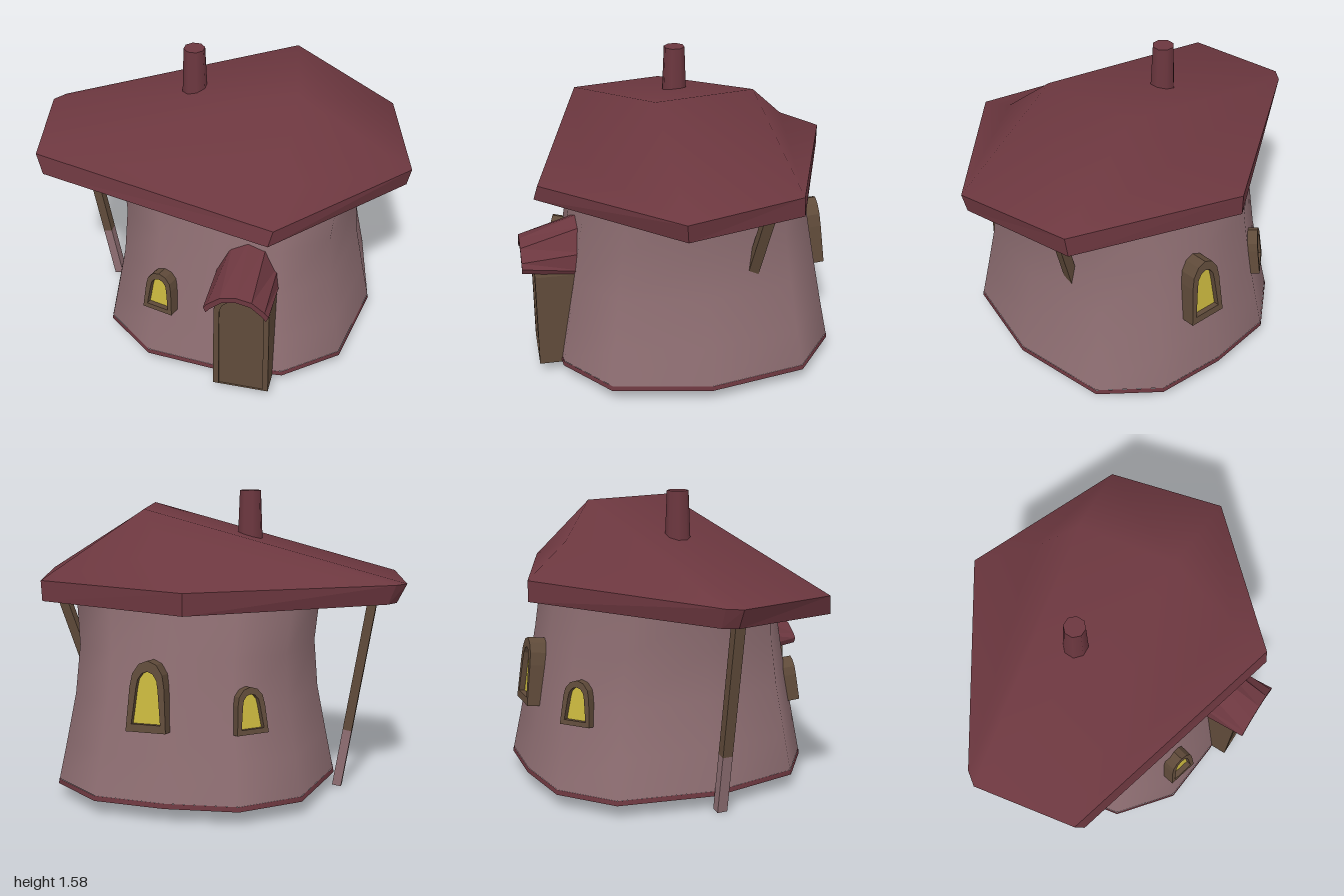
import * as THREE from 'three';

const mat = (name, color, side = THREE.FrontSide) => {
  const m = new THREE.MeshStandardMaterial({ color, side });
  m.name = name;
  return m;
};

// Skin between equal-length loops of [x, y, z] points
function loft(loops, smooth) {
  const n = loops[0].length, idx = [];
  for (let r = 0; r < loops.length - 1; r++)
    for (let i = 0; i < n; i++) {
      const a = r * n + i, b = r * n + (i + 1) % n;
      idx.push(a, b, b + n, a, b + n, a + n);
    }
  return fromPoints(loops.flat(), idx, smooth);
}

function fromPoints(points, idx, smooth) {
  let g = new THREE.BufferGeometry();
  g.setAttribute('position', new THREE.Float32BufferAttribute(points.flat(), 3));
  g.setIndex(idx);
  if (!smooth) g = g.toNonIndexed();
  g.computeVertexNormals();
  return g;
}

// Arched outline standing on y = 0
function archPoints(half, topHalf, height, spring) {
  const pts = [[-half, 0], [half, 0]];
  for (let i = 0; i <= 6; i++) {
    const t = i / 6 * Math.PI;
    pts.push([topHalf * Math.cos(t), spring + (height - spring) * Math.sin(t)]);
  }
  return pts.map(p => new THREE.Vector2(...p));
}

export function createModel() {
  const house = new THREE.Group();
  house.name = 'cottage';
  const plaster = mat('plaster pink', 0x8e6e72, THREE.DoubleSide);
  const red = mat('roof red', 0x6c373f, THREE.DoubleSide);
  const wood = mat('wood brown', 0x604b3a);
  const glow = mat('window yellow', 0xc8b63e);
  const add = (name, geo, material, parent = house) => {
    const m = new THREE.Mesh(geo, material);
    m.name = name;
    parent.add(m);
    return m;
  };

  // Wall: a rounded twelve-sided ring, narrowing upward
  const quarter = [[0, 1], [0.5, 0.955], [0.87, 0.665], [1, 0], [0.87, -0.665], [0.5, -0.955]];
  const ring = [...quarter, ...quarter.map(([x, z]) => [-x, -z])];
  const wallLoop = (y, rx, rz, cz) => ring.map(([x, z]) => [0.1 + x * rx, y, cz + z * rz]);
  add('wall', loft([
    wallLoop(0.1, 0.732, 0.752, -0.075),
    wallLoop(0.3, 0.69, 0.715, -0.072),
    wallLoop(0.55, 0.64, 0.67, -0.07),
    wallLoop(0.8, 0.62, 0.625, -0.067),
    wallLoop(1.03, 0.645, 0.585, -0.065),
  ], true), plaster);
  add('baseTrim', loft([
    wallLoop(0.075, 0.737, 0.757, -0.075),
    wallLoop(0.1, 0.733, 0.753, -0.075),
  ], true), red);

  // Roof: lopsided hips rising to a short ridge
  const eave = [[0.41, 1.1, 0.73], [1, 1.12, 0.1], [0.84, 1.13, -0.5], [0, 1.14, -0.83],
    [-0.95, 1.12, -0.2], [-1, 1.12, -0.13], [-0.9, 1.12, 0.4]];
  const under = [[0.39, 1.02, 0.75], [0.98, 1.02, 0.09], [0.83, 1.025, -0.51], [0, 1.03, -0.83],
    [-0.91, 1.02, -0.2], [-0.95, 1.02, -0.13], [-0.86, 1.02, 0.43]];
  const peaks = [[0.32, 1.495, -0.37], [0.41, 1.495, 0.14], [0.41, 1.19, 0.5], [0.17, 1.3, -0.56]];
  add('roofTop', fromPoints([...eave, ...peaks], [
    9, 0, 1, 9, 1, 8, 8, 1, 2, 8, 2, 7, 7, 2, 10, 10, 2, 3, 10, 3, 4,
    10, 4, 7, 7, 4, 5, 7, 5, 8, 8, 5, 6, 8, 6, 9, 9, 6, 0], true), red);
  add('roofEdge', loft([under, eave]), red);
  const fan = [];
  for (let i = 1; i < 6; i++) fan.push(0, i + 1, i);
  add('roofUnderside', fromPoints(under, fan), red);

  // Chimney
  const chimney = new THREE.CylinderGeometry(0.056, 0.068, 0.3, 8);
  chimney.rotateY(Math.PI / 8);
  add('chimney', chimney, red).position.set(-0.17, 1.43, -0.067);

  // Leaning posts, plastered at the foot
  function beam(name, a, b, material) {
    const dir = b.clone().sub(a);
    const m = add(name, new THREE.BoxGeometry(0.048, dir.length(), 0.055), material);
    m.position.copy(a).lerp(b, 0.5);
    m.quaternion.setFromUnitVectors(new THREE.Vector3(0, 1, 0), dir.normalize());
  }
  [['right', [-0.655, 0.005, -0.06], [-0.825, 1.04, -0.06]],
    ['left', [0.485, 0.07, -0.23], [0.775, 1.04, -0.357]]].forEach(([side, a, b]) => {
    const foot = new THREE.Vector3(...a), head = new THREE.Vector3(...b);
    const mid = foot.clone().lerp(head, 0.3);
    beam(side + 'PostFoot', foot, mid, plaster);
    beam(side + 'Post', mid, head, wood);
  });

  // Door: arched frame with a slightly recessed leaf
  const door = new THREE.Group();
  door.name = 'door';
  door.position.set(0.27, 0.065, 0.55);
  house.add(door);
  const frame = new THREE.Shape(archPoints(0.147, 0.142, 0.635, 0.52));
  frame.holes.push(new THREE.Path(archPoints(0.118, 0.114, 0.6, 0.505)));
  add('doorFrame', new THREE.ExtrudeGeometry(frame, { depth: 0.218, bevelEnabled: false }), wood, door);
  add('doorLeaf', new THREE.ExtrudeGeometry(new THREE.Shape(archPoints(0.12, 0.116, 0.602, 0.507)),
    { depth: 0.208, bevelEnabled: false }), wood, door);

  // Door hood: bell-shaped shell sloping up into the wall
  const hoodLoop = (half, z, drop) => {
    const outer = [...half.map(([x, y]) => [-x, y]), ...half.slice(0, -1).reverse()];
    const inner = outer.map(([x, y]) => [x * 0.92, y - drop]).reverse();
    return [...outer, ...inner].map(([x, y]) => [0.255 + x, y, z]);
  };
  const front = hoodLoop([[0.165, 0.645], [0.145, 0.67], [0.08, 0.722], [0, 0.738]], 0.83, 0.03);
  const back = hoodLoop([[0.165, 0.6], [0.15, 0.7], [0.085, 0.825], [0, 0.86]], 0.49, 0.03);
  add('doorHood', loft([front, back]), red);
  const rim = [];
  for (let i = 0; i < 6; i++) rim.push(i, 13 - i, 12 - i, i, 12 - i, i + 1);
  add('doorHoodRim', fromPoints(front, rim), red);

  // Windows: arched frame, deep reveal, glowing pane
  function makeWindow(name, pos, yaw, w, h, lean) {
    const g = new THREE.Group();
    g.name = name;
    g.position.set(...pos);
    g.rotation.set(-lean, yaw, 0, 'YXZ');
    house.add(g);
    const depth = 0.1;
    const shape = new THREE.Shape(archPoints(w * 0.5, w * 0.43, h, h * 0.62));
    const hole = archPoints(w * 0.36, w * 0.27, h * 0.74, h * 0.5);
    hole.forEach(p => { p.y += h * 0.11; });
    shape.holes.push(new THREE.Path(hole));
    const geo = new THREE.ExtrudeGeometry(shape, { depth, bevelEnabled: false });
    geo.translate(0, -h / 2, -depth);
    add('windowFrame', geo, wood, g);
    const pane = new THREE.ShapeGeometry(new THREE.Shape(hole));
    pane.translate(0, -h / 2, -0.03);
    add('windowPane', pane, glow, g);
  }
  makeWindow('frontWindow', [-0.2, 0.515, 0.635], -0.25, 0.17, 0.23, 0.14);
  makeWindow('backWindow', [0.19, 0.625, -0.8], Math.PI - 0.05, 0.205, 0.35, 0.12);
  makeWindow('sideWindow', [-0.31, 0.56, -0.7], Math.PI + 0.68, 0.17, 0.23, 0.14);

  return house;
}
